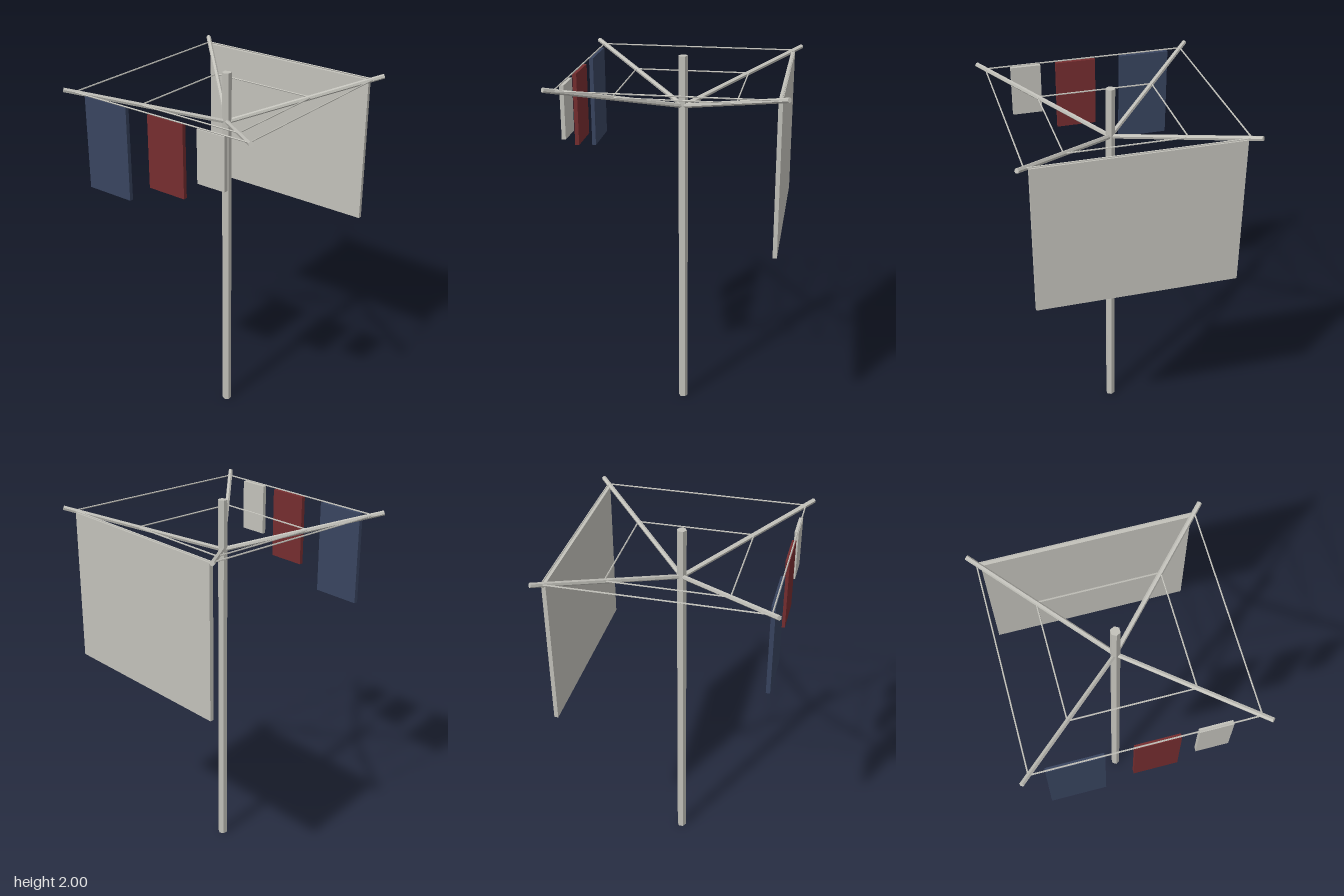
import * as THREE from 'three';

export function createModel() {
  const model = new THREE.Group();
  const material = (name, color) => {
    const m = new THREE.MeshStandardMaterial({ color, flatShading: true });
    m.name = name;
    return m;
  };
  const grey = material('pale grey', 0xc2c1ba);
  const blue = material('navy blue', 0x38445f);
  const red = material('dark red', 0x752d2f);

  const add = (name, geometry, mat) => {
    const mesh = new THREE.Mesh(geometry, mat);
    mesh.name = name;
    model.add(mesh);
    return mesh;
  };

  // Straight rod between two points
  const up = new THREE.Vector3(0, 1, 0);
  const rod = (name, a, b, radius, sides) => {
    const dir = b.clone().sub(a);
    const mesh = add(name, new THREE.CylinderGeometry(radius, radius, dir.length(), sides), grey);
    mesh.position.copy(a).add(b).multiplyScalar(0.5);
    mesh.quaternion.setFromUnitVectors(up, dir.normalize());
  };

  // Upright post
  rod('pole', new THREE.Vector3(0, 0, 0), new THREE.Vector3(0, 2, 0), 0.025, 6);

  // Four arms rising from the post to the corners
  const corners = [[1, 1], [1, -1], [-1, -1], [-1, 1]];
  const onArm = ([sx, sz], d) => new THREE.Vector3(sx * d, 1.738 + 0.36 * d, sz * d);
  for (const c of corners) rod('arm', onArm(c, 0), onArm(c, 0.573), 0.0125, 6);

  // Two square rings of washing line
  for (const d of [0.307, 0.535]) {
    corners.forEach((c, i) => rod('line', onArm(c, d), onArm(corners[(i + 1) % 4], d), 0.004, 5));
  }

  // Hanging laundry: name, left, right, bottom, z, material
  const laundry = [
    ['sheet', -0.517, 0.514, 1.138, -0.53, grey],
    ['largeTowel', -0.46, -0.19, 1.44, 0.53, blue],
    ['towel', -0.054, 0.161, 1.55, 0.53, red],
    ['smallCloth', 0.244, 0.403, 1.655, 0.53, grey],
  ];
  const top = 1.925;
  for (const [name, x0, x1, y0, z, mat] of laundry) {
    add(name, new THREE.BoxGeometry(x1 - x0, top - y0, 0.021), mat)
      .position.set((x0 + x1) / 2, (top + y0) / 2, z);
  }

  return model;
}
